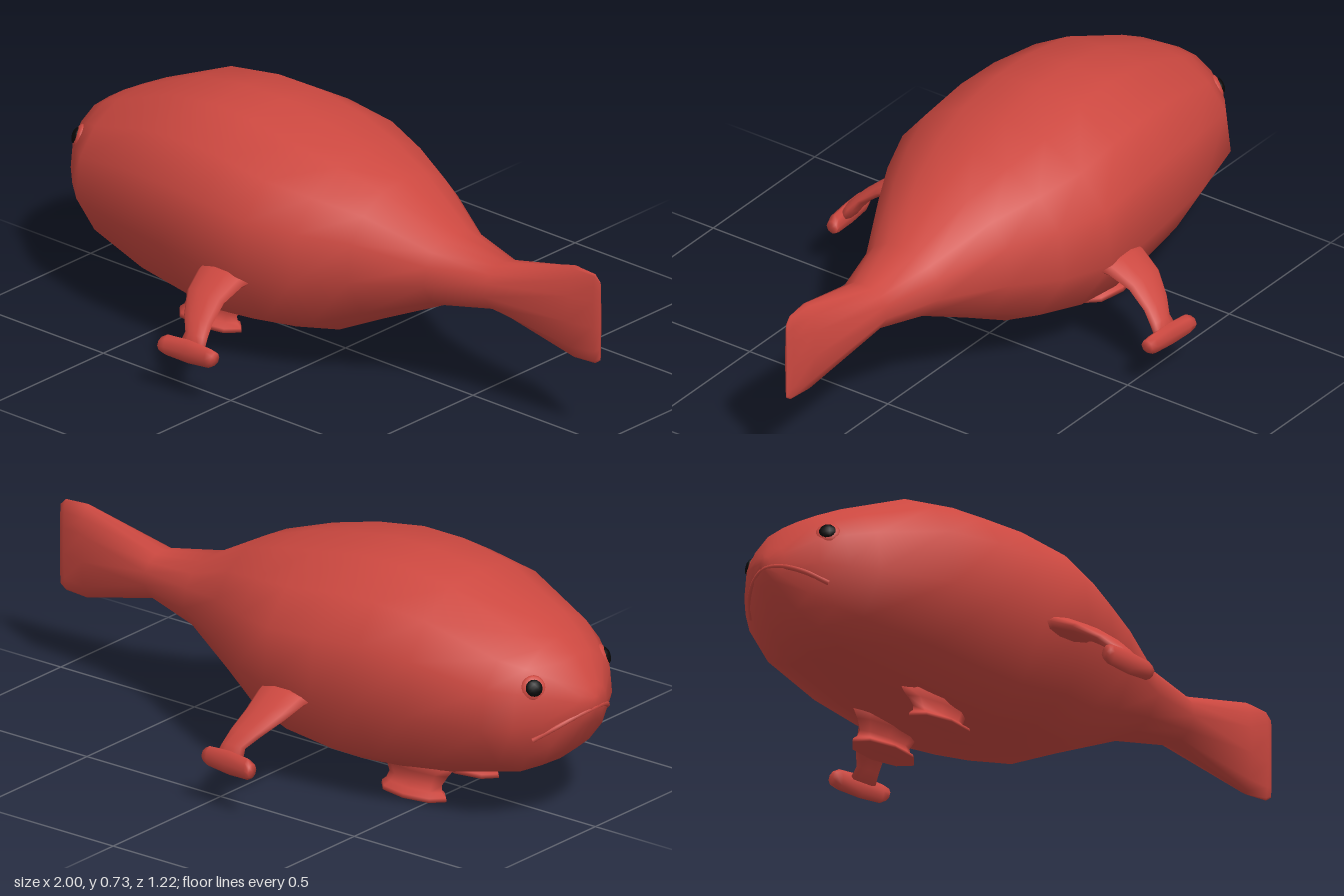
import * as THREE from 'three';

const red = new THREE.MeshStandardMaterial({ color: 0xcc4840 });
red.name = 'red skin';
const black = new THREE.MeshStandardMaterial({ color: 0x080808 });
black.name = 'black eye';

// Skins a row of closed rings with capped ends; s = -1 mirrors across z
function loft(name, rings, s = 1) {
  const n = rings[0].length, pos = [], idx = [];
  const tri = (a, b, c) => (s > 0 ? idx.push(a, b, c) : idx.push(a, c, b));
  rings.flat().forEach((p) => pos.push(p.x, p.y, p.z * s));
  for (let i = 0; i < rings.length - 1; i++) {
    for (let j = 0; j < n; j++) {
      const k = (j + 1) % n, a = i * n + j, b = i * n + k;
      tri(a, b, a + n);
      tri(b, b + n, a + n);
    }
  }
  [0, rings.length - 1].forEach((r) => {
    const c = new THREE.Vector3(), m = pos.length / 3;
    rings[r].forEach((p) => c.addScaledVector(p, 1 / n));
    pos.push(c.x, c.y, c.z * s);
    for (let j = 0; j < n; j++) {
      const a = r * n + j, b = r * n + (j + 1) % n;
      if (r === 0) tri(m, b, a);
      else tri(m, a, b);
    }
  });
  const g = new THREE.BufferGeometry();
  g.setAttribute('position', new THREE.Float32BufferAttribute(pos, 3));
  g.setIndex(idx);
  g.computeVertexNormals();
  const mesh = new THREE.Mesh(g, red);
  mesh.name = name;
  return mesh;
}

// Elliptical ring: centre c, radius ru along u, rv along w x u
function ring(c, u, w, ru, rv, n = 10) {
  const v = new THREE.Vector3().crossVectors(w, u).normalize();
  return Array.from({ length: n }, (_, i) => {
    const t = (i / n) * Math.PI * 2;
    return c.clone().addScaledVector(u, ru * Math.cos(t)).addScaledVector(v, rv * Math.sin(t));
  });
}

const V = (x, y, z) => new THREE.Vector3(x, y, z);
const X = V(1, 0, 0), Y = V(0, 1, 0), DOWN = V(0, -1, 0);

export function createModel() {
  const model = new THREE.Group();
  model.name = 'fish';

  // Body and tail fin: x, top, bottom, half width
  const stations = [
    [-1, 0.41, 0.365, 0.02], [-0.985, 0.44, 0.325, 0.07], [-0.93, 0.525, 0.235, 0.165],
    [-0.87, 0.565, 0.185, 0.225], [-0.8, 0.6, 0.145, 0.285], [-0.57, 0.7, 0.09, 0.355],
    [-0.39, 0.727, 0.063, 0.375], [-0.24, 0.725, 0.052, 0.388], [-0.07, 0.695, 0.08, 0.39],
    [0.08, 0.66, 0.11, 0.33], [0.23, 0.61, 0.185, 0.248], [0.43, 0.5, 0.28, 0.138],
    [0.62, 0.465, 0.32, 0.085], [0.9, 0.54, 0.245, 0.03], [0.98, 0.535, 0.25, 0.012],
    [1, 0.515, 0.265, 0.004],
  ];
  // Half of the cross-section, from the back down to the belly
  const half = [[1, 0], [0.955, 0.38], [0.727, 0.72], [0.39, 0.94], [-0.17, 1], [-0.727, 0.72], [-0.95, 0.35], [-1, 0]];
  const section = [...half, ...half.slice(1, -1).reverse().map(([y, z]) => [y, -z])];
  model.add(loft('body', stations.map(([x, top, bottom, w]) =>
    section.map(([y, z]) => V(x, (top + bottom) / 2 + y * (top - bottom) / 2, z * w)))));

  for (const s of [1, -1]) {
    const side = s > 0 ? 'left' : 'right';
    // The model swims toward -x, so these are simply the two flanks
    const flank = new THREE.Group();
    flank.name = side + 'Flank';

    // Arm: x, y, z, half width, half thickness, direction (y, z)
    const arm = [
      [-0.14, 0.325, 0.33, 0.1, 0.035, -0.2, 1], [-0.14, 0.315, 0.39, 0.088, 0.027, -0.4, 1],
      [-0.135, 0.28, 0.46, 0.072, 0.021, -0.6, 1], [-0.11, 0.235, 0.52, 0.055, 0.018, -1, 0.8],
      [-0.09, 0.2, 0.55, 0.042, 0.02, -1, 0.5], [-0.09, 0.165, 0.572, 0.05, 0.018, -1, 0.4],
    ];
    flank.add(loft('arm', arm.map(([x, y, z, a, b, dy, dz]) => ring(V(x, y, z), X, V(0, dy, dz), a, b)), s));

    // Hand bar: x, z, half height
    const hand = [[-0.19, 0.59, 0.022], [-0.17, 0.586, 0.034], [-0.095, 0.58, 0.038], [-0.02, 0.575, 0.032], [0, 0.57, 0.02]];
    flank.add(loft('hand', hand.map(([x, z, h]) => ring(V(x, 0.157, z), Y, X, h, 0.02, 8)), s));

    // Leg and foot: y, z, half length, half width
    const leg = [
      [0.12, 0.1, 0.15, 0.05], [0.075, 0.108, 0.115, 0.028], [0.045, 0.115, 0.098, 0.017],
      [0.026, 0.12, 0.105, 0.03], [0.014, 0.122, 0.12, 0.05], [0.002, 0.122, 0.122, 0.054],
    ];
    flank.add(loft('foot', leg.map(([y, z, a, b]) => ring(V(-0.42, y, z), X, DOWN, a, b, 8)), s));

    // Eye: raised lid with a black pupil
    const out = V(-0.72, 0.33, 0.61 * s).normalize();
    const turn = new THREE.Quaternion().setFromUnitVectors(V(0, 0, 1), out);
    const spot = V(-0.899, 0.462, 0.162 * s);
    const lid = new THREE.Mesh(new THREE.SphereGeometry(0.038, 12, 8), red);
    lid.name = 'eyelid';
    lid.scale.z = 0.4;
    const pupil = new THREE.Mesh(new THREE.SphereGeometry(0.026, 10, 8), black);
    pupil.name = 'pupil';
    pupil.scale.z = 0.5;
    lid.position.copy(spot);
    pupil.position.copy(spot).addScaledVector(out, 0.009);
    lid.quaternion.copy(turn);
    pupil.quaternion.copy(turn);
    flank.add(lid, pupil);
    model.add(flank);
  }

  // Down-turned lip around the snout
  const corner = [V(-0.9, 0.3, 0.168), V(-0.95, 0.338, 0.118), V(-0.983, 0.366, 0.056)];
  const lipPath = new THREE.CatmullRomCurve3([
    ...corner, V(-0.995, 0.374, 0), ...corner.map((p) => V(p.x, p.y, -p.z)).reverse()]);
  const lip = new THREE.Mesh(new THREE.TubeGeometry(lipPath, 24, 0.008, 6), red);
  lip.name = 'lip';
  model.add(lip);
  return model;
}
